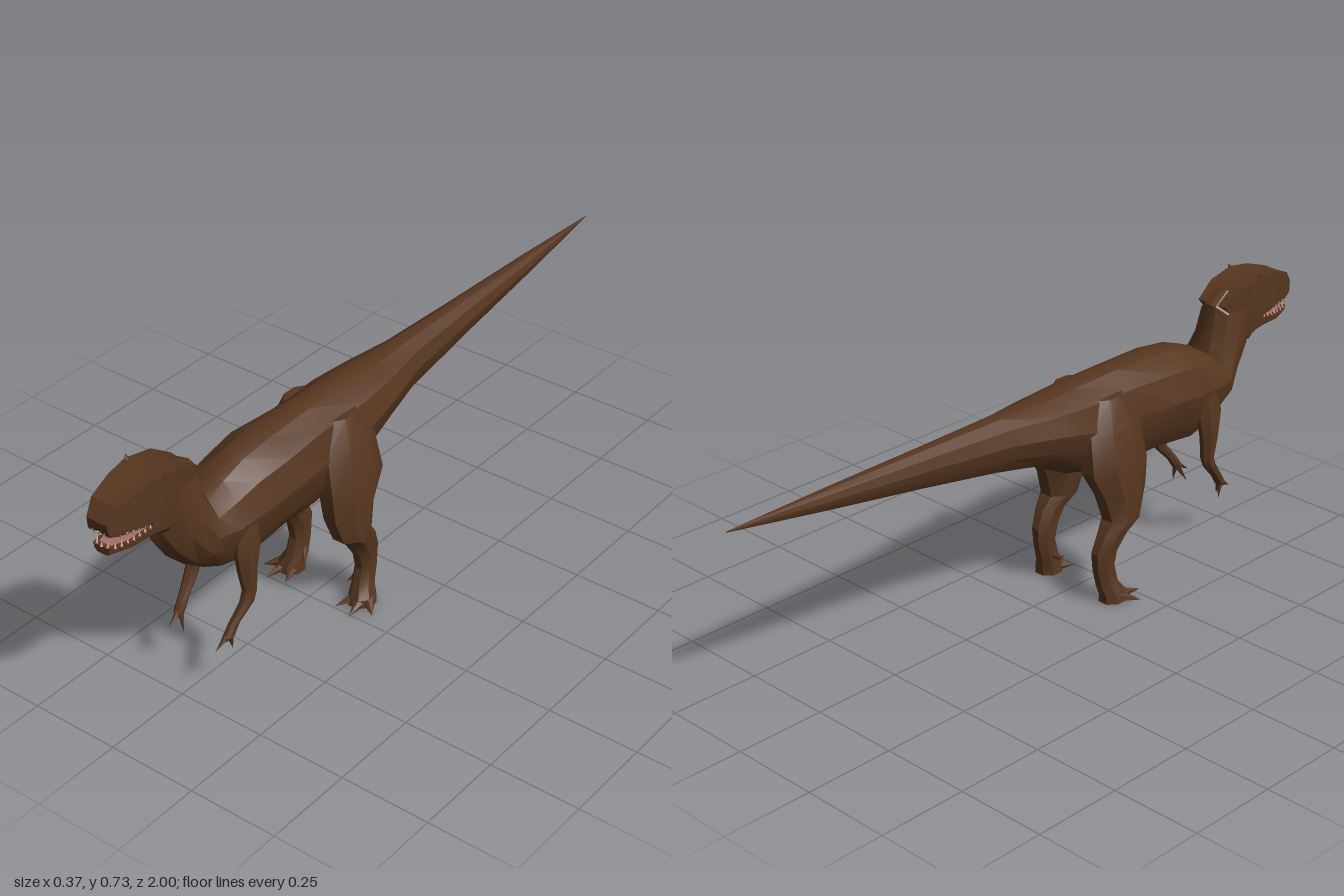
import * as THREE from 'three';
import { toCreasedNormals } from 'three/addons/utils/BufferGeometryUtils.js';

const mat = (name, color) => Object.assign(new THREE.MeshStandardMaterial({ color }), { name });

// Skin a list of closed rings (arrays of [x, y, z]), capped at both ends
function loft(rings, crease = 0.45) {
  const n = rings[0].length, pos = rings.flat(2), idx = [];
  for (let i = 0; i < rings.length - 1; i++) {
    for (let j = 0; j < n; j++) {
      const a = i * n + j, b = i * n + (j + 1) % n;
      idx.push(a, b, b + n, a, b + n, a + n);
    }
  }
  const last = (rings.length - 1) * n;
  for (let j = 1; j < n - 1; j++) idx.push(0, j + 1, j, last, last + j, last + j + 1);
  const g = new THREE.BufferGeometry();
  g.setAttribute('position', new THREE.Float32BufferAttribute(pos, 3));
  g.setIndex(idx);
  return toCreasedNormals(g, crease);
}

// Ring between a top and a bottom point, shaped by a half section of [width, height] fractions
function sectionRing([zt, yt, zb, yb, w], half) {
  const right = half.map(([u, t]) => [u * w, yb + (yt - yb) * t, zb + (zt - zb) * t]);
  const left = right.slice(1, -1).reverse().map(([x, y, z]) => [-x, y, z]);
  return [...right, ...left];
}

// Downward limb from [x, y, z, rx, rz] stations, on side s
function limb(stations, s, n = 8) {
  return loft(stations.map(([x, y, z, rx, rz]) => Array.from({ length: n }, (_, k) => {
    const a = s * (k + 0.5) * 2 * Math.PI / n;
    return [s * (x + Math.cos(a) * rx), y, z + Math.sin(a) * rz];
  })));
}

// Pointed cone from a base point to a tip
function spike(base, tip, r, sides = 5) {
  const a = new THREE.Vector3(...base), b = new THREE.Vector3(...tip);
  const d = b.clone().sub(a);
  const g = new THREE.ConeGeometry(r, d.length(), sides);
  g.applyQuaternion(new THREE.Quaternion().setFromUnitVectors(new THREE.Vector3(0, 1, 0), d.normalize()));
  const c = a.add(b).multiplyScalar(0.5);
  return g.translate(c.x, c.y, c.z);
}

export function createModel() {
  const model = new THREE.Group();
  model.name = 'dinosaur';
  const skin = mat('brownSkin', 0x56361f);
  const mouth = mat('purpleMouth', 0x52294a);
  const gum = mat('pinkTongue', 0xa8706c);
  const ivory = mat('teeth', 0xd2a898);
  const add = (name, geo, m = skin, parent = model) => {
    const mesh = new THREE.Mesh(geo, m);
    mesh.name = name;
    parent.add(mesh);
    return mesh;
  };

  // Tail, torso and neck in one skin: [topZ, topY, bottomZ, bottomY, halfWidth]
  const bodyHalf = [[0, 0], [0.5, 0.1], [0.88, 0.33], [1, 0.58], [0.8, 0.84], [0.3, 0.98], [0, 1]];
  add('body', loft([
    [-1, 0.587, -1, 0.584, 0.001],
    [-0.7, 0.592, -0.7, 0.533, 0.023],
    [-0.4, 0.594, -0.4, 0.485, 0.041],
    [-0.14, 0.597, -0.14, 0.44, 0.06],
    [0, 0.598, 0, 0.41, 0.09],
    [0.12, 0.608, 0.12, 0.35, 0.105],
    [0.28, 0.612, 0.28, 0.31, 0.102],
    [0.43, 0.61, 0.41, 0.322, 0.118],
    [0.53, 0.598, 0.56, 0.303, 0.108],
    [0.6, 0.572, 0.65, 0.33, 0.103],
    [0.655, 0.538, 0.72, 0.38, 0.088],
    [0.675, 0.6, 0.78, 0.44, 0.068],
    [0.685, 0.665, 0.825, 0.51, 0.06],
    [0.735, 0.7, 0.84, 0.555, 0.054],
  ].map(r => sectionRing(r, bodyHalf))));

  // Head: skull with raised brows, lower jaw, palate and tongue
  const head = new THREE.Group();
  head.name = 'head';
  model.add(head);
  const skullHalf = [[0, 0.14], [0.75, 0.12], [0.95, 0], [1, 0.3], [0.94, 0.65], [0.95, 0.97], [0.5, 0.96], [0, 0.95]];
  add('skull', loft([
    [0.69, 0.67, 0.8, 0.545, 0.05],
    [0.75, 0.71, 0.82, 0.575, 0.057],
    [0.835, 0.726, 0.845, 0.603, 0.06],
    [0.9, 0.718, 0.9, 0.61, 0.053],
    [0.965, 0.697, 0.965, 0.619, 0.043],
    [0.995, 0.66, 0.99, 0.625, 0.033],
  ].map(r => sectionRing(r, skullHalf))), skin, head);
  const jawHalf = [[0, 0], [0.6, 0.04], [0.95, 0.4], [1, 1], [0.8, 1], [0, 0.85]];
  add('lowerJaw', loft([
    [0.8, 0.6, 0.8, 0.53, 0.05],
    [0.86, 0.592, 0.86, 0.555, 0.05],
    [0.93, 0.584, 0.93, 0.556, 0.042],
    [0.985, 0.588, 0.985, 0.565, 0.025],
  ].map(r => sectionRing(r, jawHalf))), skin, head);
  const plate = [[0, 0], [1, 0], [1, 1], [0, 1]];
  add('palate', loft([
    [0.84, 0.622, 0.84, 0.614, 0.044],
    [0.9, 0.627, 0.9, 0.619, 0.039],
    [0.97, 0.632, 0.97, 0.624, 0.03],
  ].map(r => sectionRing(r, plate))), mouth, head);
  add('throat', new THREE.BoxGeometry(0.094, 0.04, 0.01).translate(0, 0.602, 0.858), mouth, head);
  add('tongue', loft([
    [0.85, 0.594, 0.85, 0.586, 0.038],
    [0.93, 0.587, 0.93, 0.579, 0.03],
    [0.975, 0.589, 0.975, 0.581, 0.016],
  ].map(r => sectionRing(r, plate))), gum, head);

  // Tooth rows follow the lips, round the front and back
  const upperLip = new THREE.CatmullRomCurve3([
    [-0.05, 0.613, 0.875], [-0.041, 0.622, 0.955], [-0.024, 0.63, 0.986],
    [0.024, 0.63, 0.986], [0.041, 0.622, 0.955], [0.05, 0.613, 0.875],
  ].map(p => new THREE.Vector3(...p)));
  const lowerLip = new THREE.CatmullRomCurve3([
    [-0.045, 0.588, 0.87], [-0.037, 0.582, 0.935], [-0.021, 0.585, 0.98],
    [0.021, 0.585, 0.98], [0.037, 0.582, 0.935], [0.045, 0.588, 0.87],
  ].map(p => new THREE.Vector3(...p)));
  for (const [name, lip, dir] of [['upperTooth', upperLip, -1], ['lowerTooth', lowerLip, 1]]) {
    for (let i = 0; i < 17; i++) {
      const p = lip.getPointAt(i / 16), len = i % 2 ? 0.018 : 0.012;
      add(name, spike([p.x, p.y, p.z], [p.x * 0.96, p.y + dir * len, p.z - 0.003], 0.0045, 4), ivory, head);
    }
  }

  for (const s of [1, -1]) {
    const side = s > 0 ? 'left' : 'right';
    // Brow horn
    add(side + 'Brow', spike([s * 0.045, 0.705, 0.835], [s * 0.06, 0.731, 0.83], 0.018), skin, head);

    // Hind leg: thigh, knee, shin, ankle and foot
    const leg = new THREE.Group();
    leg.name = side + 'HindLeg';
    model.add(leg);
    add('leg', limb([
      [0.065, 0.57, 0.2, 0.035, 0.05],
      [0.08, 0.49, 0.2, 0.052, 0.1],
      [0.1, 0.38, 0.2, 0.056, 0.11],
      [0.105, 0.31, 0.217, 0.05, 0.085],
      [0.112, 0.235, 0.215, 0.048, 0.058],
      [0.113, 0.2, 0.182, 0.036, 0.05],
      [0.109, 0.15, 0.155, 0.03, 0.042],
      [0.109, 0.1, 0.152, 0.027, 0.034],
      [0.11, 0.05, 0.165, 0.029, 0.034],
      [0.118, 0.022, 0.178, 0.036, 0.04],
      [0.118, 0, 0.18, 0.038, 0.042],
    ], s), skin, leg);
    // Flattened toes and a raised inner claw
    for (const [x, z] of [[0.183, 0.222], [0.138, 0.265], [0.082, 0.25]]) {
      const toe = spike([s * (0.118 + (x - 0.118) * 0.2), 0.014, 0.175], [s * x, 0.004, z], 0.022, 6);
      const p = toe.attributes.position;
      for (let i = 0; i < p.count; i++) p.setY(i, Math.max(0, p.getY(i)));
      add('toe', toCreasedNormals(toe, 0.6), skin, leg);
    }
    add('innerClaw', spike([s * 0.09, 0.065, 0.16], [s * 0.072, 0.042, 0.185], 0.012), skin, leg);

    // Foreleg with shoulder, elbow and three clawed fingers
    const arm = new THREE.Group();
    arm.name = side + 'Foreleg';
    model.add(arm);
    add('arm', limb([
      [0.085, 0.47, 0.58, 0.02, 0.035],
      [0.09, 0.4, 0.59, 0.025, 0.045],
      [0.09, 0.33, 0.593, 0.022, 0.03],
      [0.09, 0.27, 0.588, 0.018, 0.021],
      [0.09, 0.24, 0.6, 0.017, 0.021],
      [0.082, 0.195, 0.64, 0.013, 0.017],
      [0.08, 0.165, 0.66, 0.014, 0.017],
      [0.078, 0.155, 0.667, 0.008, 0.01],
    ], s, 7), skin, arm);
    for (const [x, y, z] of [[0.054, 0.12, 0.675], [0.076, 0.14, 0.705], [0.084, 0.122, 0.65]]) {
      add('finger', spike([s * 0.08, 0.172, 0.657], [s * x, y, z], 0.011), skin, arm);
    }
  }
  return model;
}
